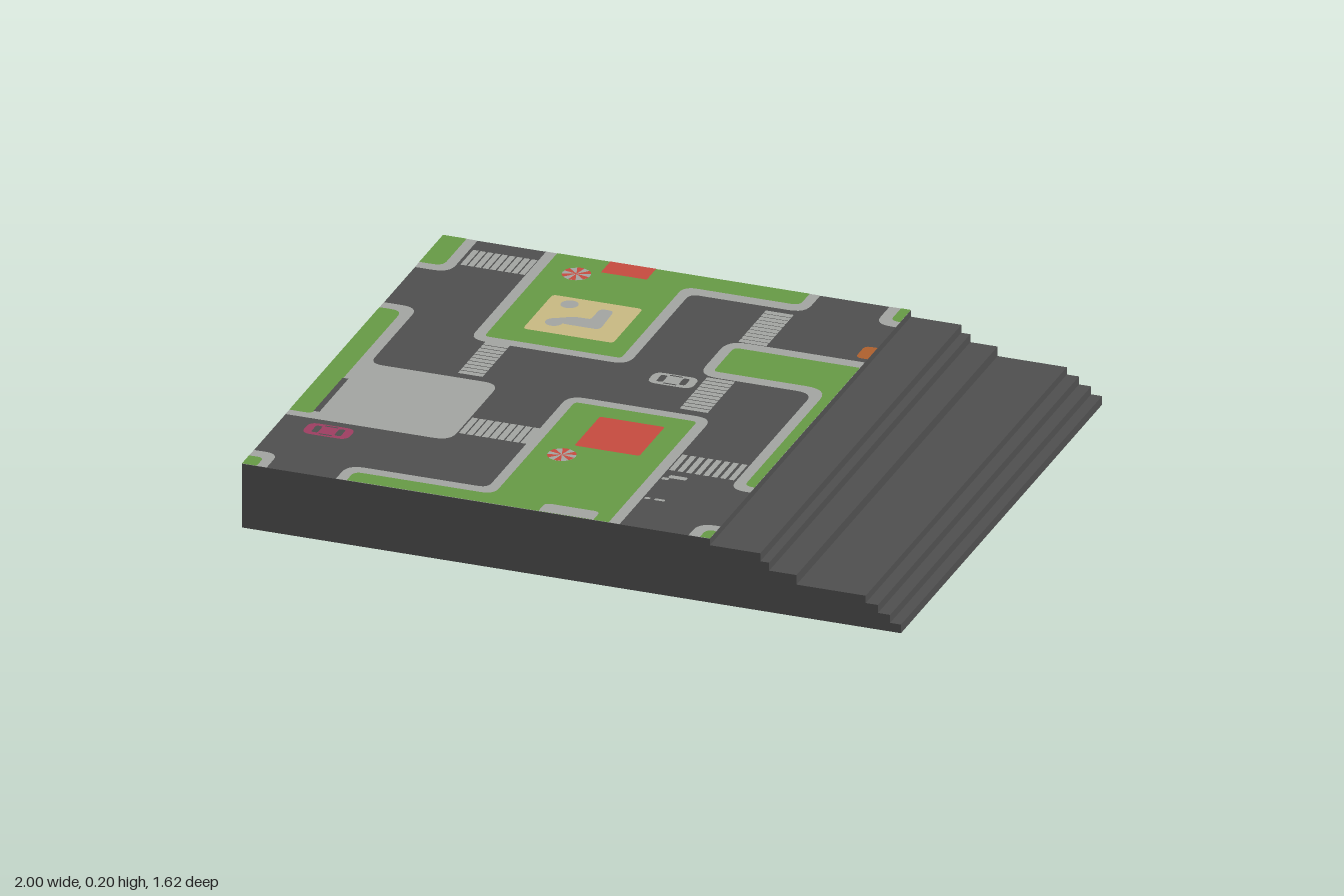
import * as THREE from 'three';

const mat = (name, color) => {
  const m = new THREE.MeshStandardMaterial({ color });
  m.name = name;
  return m;
};

export function createModel() {
  const model = new THREE.Group();
  model.name = 'townBoard';
  const asphalt = mat('asphalt', 0x505050), paving = mat('paving', 0xa5a7a4), grass = mat('grass', 0x689c46);
  const red = mat('red', 0xc94c40), sand = mat('sand', 0xcbbc84);
  const orange = mat('orange', 0xb0622f), magenta = mat('magenta', 0xa03f63);
  const TOP = 0.2, LAYER = 0.0007, W = -1, E = 0.42, N = -0.812, S = 0.812;

  // Flat painted area; corners are [x, z, radius]
  function patch(name, material, layer, corners) {
    const p = corners.map(([x, z, r = 0]) => ({ v: new THREE.Vector2(x, -z), r }));
    const shape = new THREE.Shape();
    p.forEach(({ v, r }, i) => {
      const toward = (q) => q.clone().sub(v).setLength(r).add(v);
      const a = toward(p[(i + p.length - 1) % p.length].v), b = toward(p[(i + 1) % p.length].v);
      if (i === 0) shape.moveTo(a.x, a.y); else shape.lineTo(a.x, a.y);
      if (r > 0) shape.quadraticCurveTo(v.x, v.y, b.x, b.y);
    });
    shape.closePath();
    const g = new THREE.ShapeGeometry(shape, 6);
    g.rotateX(-Math.PI / 2);
    const mesh = new THREE.Mesh(g, material);
    mesh.name = name;
    mesh.position.y = TOP + layer * LAYER;
    model.add(mesh);
  }
  const rect = (name, m, layer, x0, z0, x1, z1, r = 0) =>
    patch(name, m, layer, [[x0, z0, r], [x1, z0, r], [x1, z1, r], [x0, z1, r]]);
  function disc(name, m, layer, x, z, r, start = 0, arc = Math.PI * 2) {
    const g = new THREE.CircleGeometry(r, 20, start, arc).rotateX(-Math.PI / 2);
    const mesh = new THREE.Mesh(g, m);
    mesh.name = name;
    mesh.position.set(x, TOP + layer * LAYER, z);
    model.add(mesh);
  }

  // Base slab with stairs down its left side: [end of tread, height]
  const treads = [[0.42, 0.2], [0.573, 0.18], [0.6, 0.155], [0.683, 0.13], [0.893, 0.1], [0.93, 0.077], [0.967, 0.052], [1, 0.027]];
  const profile = new THREE.Shape().moveTo(-1, 0);
  let x = -1;
  for (const [end, h] of treads) {
    profile.lineTo(x, h);
    profile.lineTo(end, h);
    x = end;
  }
  profile.lineTo(1, 0);
  const base = new THREE.Mesh(
    new THREE.ExtrudeGeometry(profile, { depth: S - N, bevelEnabled: false }).translate(0, 0, N), asphalt);
  base.name = 'steppedBase';
  model.add(base);

  // Corner plots, kerb below and grass above
  patch('kerbBackRight', paving, 1, [[W, N], [-0.895, N], [-0.895, -0.585, 0.05], [W, -0.585]]);
  patch('grassBackRight', grass, 2, [[W, N], [-0.928, N], [-0.928, -0.62, 0.03], [W, -0.62]]);
  patch('kerbFrontRight', paving, 1, [[W, 0.715], [-0.925, 0.715, 0.04], [-0.925, S], [W, S]]);
  patch('grassFrontRight', grass, 2, [[W, 0.755], [-0.955, 0.755, 0.02], [-0.955, S], [W, S]]);
  patch('kerbBackLeft', paving, 1, [[0.355, N], [E, N], [E, -0.69], [0.355, -0.69, 0.05]]);
  patch('grassBackLeft', grass, 2, [[0.39, N], [E, N], [E, -0.725], [0.39, -0.725, 0.025]]);
  patch('kerbFrontLeft', paving, 1, [[0.355, S], [0.355, 0.725, 0.05], [E, 0.725], [E, S]]);
  patch('grassFrontLeft', grass, 2, [[0.39, S], [0.39, 0.76, 0.025], [E, 0.76], [E, S]]);

  // Right verge with the car park
  patch('carPark', paving, 1, [[W, -0.335], [-0.895, -0.335, 0.05], [-0.895, 0.06, 0.04],
    [-0.5, 0.06, 0.05], [-0.5, 0.46, 0.05], [W, 0.46]]);
  patch('carParkVerge', grass, 2, [[W, -0.298], [-0.93, -0.298, 0.035], [-0.93, 0.43, 0.02], [W, 0.43]]);
  rect('carParkGate', asphalt, 3, -0.932, 0.18, -0.914, 0.415);

  // Back park
  patch('backParkKerb', paving, 1, [[-0.687, N], [0.145, N], [0.145, -0.69, 0.05],
    [-0.205, -0.69, 0.03], [-0.205, -0.19, 0.05], [-0.687, -0.19, 0.05]]);
  patch('backParkGrass', grass, 2, [[-0.653, N], [0.113, N], [0.113, -0.73, 0.025],
    [-0.238, -0.73, 0.04], [-0.238, -0.223, 0.015], [-0.653, -0.223, 0.015]]);
  rect('sandpit', sand, 3, -0.568, -0.548, -0.294, -0.307, 0.015);
  disc('sandpitStone', paving, 4, -0.5, -0.503, 0.026);
  disc('sandpitStone', paving, 4, -0.5, -0.377, 0.026);
  patch('sandpitStone', paving, 4, [[-0.408, -0.505, 0.018], [-0.365, -0.505, 0.018], [-0.36, -0.375, 0.02],
    [-0.475, -0.375, 0.02], [-0.51, -0.4, 0.01], [-0.46, -0.43, 0.01], [-0.408, -0.432, 0.01]]);
  rect('backRoof', red, 3, -0.492, N, -0.353, -0.735);

  // Left verge, L-shaped
  patch('sideParkKerb', paving, 1, [[E, -0.44], [0.005, -0.44, 0.06], [0.005, -0.195, 0.06],
    [0.355, -0.195, 0.05], [0.355, 0.485, 0.05], [E, 0.485]]);
  patch('sideParkGrass', grass, 2, [[E, -0.4], [0.038, -0.4, 0.02], [0.038, -0.233, 0.015],
    [0.388, -0.233, 0.07], [0.388, 0.45, 0.025], [E, 0.45]]);

  // Front park
  patch('frontParkKerb', paving, 1, [[-0.715, S], [-0.715, 0.715, 0.05], [-0.29, 0.715, 0.03],
    [-0.29, 0.062, 0.05], [0.146, 0.062, 0.05], [0.146, S]]);
  patch('frontParkGrass', grass, 2, [[-0.682, S], [-0.682, 0.752, 0.025], [-0.258, 0.752, 0.04],
    [-0.258, 0.098, 0.015], [0.113, 0.098, 0.015], [0.113, S]]);
  rect('frontRoof', red, 3, -0.157, 0.165, 0.04, 0.37, 0.008);
  patch('frontPath', paving, 3, [[-0.1, S], [-0.1, 0.757, 0.02], [0.067, 0.757, 0.02], [0.067, S]]);

  // Parasols with red wedges
  for (const [px, pz] of [[-0.553, -0.7], [-0.169, 0.44]]) {
    disc('parasol', paving, 3, px, pz, 0.042);
    for (let i = 0; i < 6; i++) disc('parasolWedge', red, 4, px, pz, 0.042, i * Math.PI / 3 + 0.3, Math.PI / 6);
  }

  // Zebra crossings: bars repeat along x or z
  function crossing(x0, z0, x1, z1, alongX, count, fill) {
    const step = (alongX ? x1 - x0 : z1 - z0) / count;
    for (let i = 0; i < count; i++) {
      const a = (alongX ? x0 : z0) + i * step, b = a + step * fill;
      if (alongX) rect('crossingBar', paving, 1, a, z0, b, z1);
      else rect('crossingBar', paving, 1, x0, a, x1, b);
    }
  }
  crossing(-0.885, -0.75, -0.685, -0.645, true, 9, 0.8);
  crossing(0.035, -0.665, 0.12, -0.44, false, 10, 0.88);
  crossing(-0.638, -0.19, -0.563, 0.035, false, 10, 0.85);
  crossing(0.035, -0.19, 0.12, 0.035, false, 10, 0.85);
  crossing(-0.495, 0.295, -0.285, 0.405, true, 9, 0.82);
  crossing(0.15, 0.315, 0.357, 0.425, true, 8, 0.65);

  // Painted cars with dark windows
  function car(m, cx, cz, w) {
    rect('carBody', m, 1, cx - w, cz - 0.037, cx + w, cz + 0.037, 0.028);
    for (const s of [-1, 1]) {
      rect('carWindscreen', asphalt, 2, cx + s * w * 0.5 - 0.01, cz - 0.022, cx + s * w * 0.5 + 0.01, cz + 0.022, 0.007);
      rect('carSideWindow', asphalt, 2, cx - 0.02, cz + s * 0.027 - 0.003, cx + 0.02, cz + s * 0.027 + 0.003);
    }
  }
  car(paving, -0.048, -0.137, 0.068);
  car(magenta, -0.846, 0.523, 0.07);
  patch('halfCar', orange, 1, [[E, -0.543], [0.382, -0.543, 0.02], [0.382, -0.462, 0.02], [E, -0.462]]);

  // Road marks
  rect('roadMark', paving, 1, 0.165, 0.455, 0.22, 0.475, 0.008);
  rect('roadMark', paving, 1, 0.15, 0.475, 0.172, 0.49, 0.006);
  rect('roadMark', paving, 1, 0.15, 0.615, 0.168, 0.628, 0.005);
  rect('roadMark', paving, 1, 0.18, 0.615, 0.212, 0.627, 0.005);
  return model;
}
